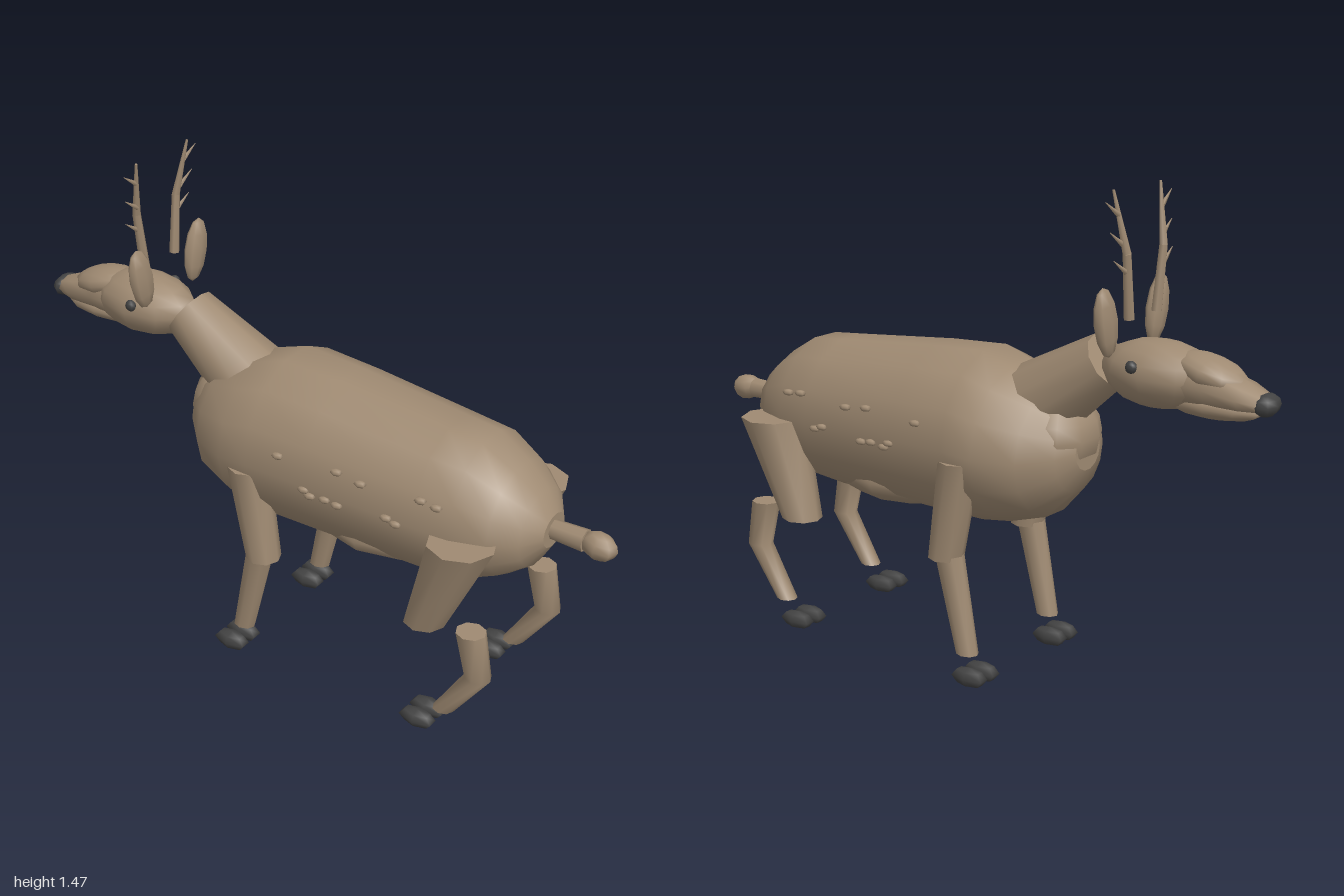
import * as THREE from 'three';

const coat = new THREE.MeshStandardMaterial({ name: 'brown coat', color: 0x9f8a72 });
const dark = new THREE.MeshStandardMaterial({ name: 'dark horn', color: 0x434343 });

// Skin over elliptical rings [pos, centre, rx, r2]: along -z (centre = y) or, if vertical, up y (centre = z)
function loft(rings, sides, vertical = false, x = 0) {
  const pos = [], idx = [];
  const put = ([p, c], u, v) => (vertical ? pos.push(x + u, p, c + v) : pos.push(x + u, c + v, p));
  const ring = (r) => {
    for (let j = 0; j < sides; j++) {
      const t = (j / sides) * Math.PI * 2;
      put(r, Math.cos(t) * r[2], Math.sin(t) * r[3]);
    }
  };
  rings.forEach(ring);
  for (let i = 0; i < rings.length - 1; i++) {
    for (let j = 0; j < sides; j++) {
      const k = (j + 1) % sides;
      const a = i * sides + j, b = i * sides + k, c = a + sides, d = b + sides;
      idx.push(a, c, b, b, c, d);
    }
  }
  // Flat end caps with their own vertices
  [rings[0], rings[rings.length - 1]].forEach((r, end) => {
    const s = pos.length / 3;
    ring(r);
    put(r, 0, 0);
    for (let j = 0; j < sides; j++) {
      const k = s + ((j + 1) % sides);
      if (end) idx.push(s + sides, k, s + j);
      else idx.push(s + sides, s + j, k);
    }
  });
  const g = new THREE.BufferGeometry();
  g.setAttribute('position', new THREE.Float32BufferAttribute(pos, 3));
  g.setIndex(idx);
  g.computeVertexNormals();
  return g;
}

export function createModel() {
  const model = new THREE.Group();
  model.name = 'deer';

  const add = (name, geometry, material = coat) => {
    const m = new THREE.Mesh(geometry, material);
    m.name = name;
    model.add(m);
    return m;
  };
  const blob = (name, at, radii, material = coat, w = 10, h = 8) => {
    const m = add(name, new THREE.SphereGeometry(1, w, h), material);
    m.position.set(...at);
    m.scale.set(...radii);
    return m;
  };
  const rod = (name, from, r0, to, r1, sides = 8) => {
    const a = new THREE.Vector3(...from), b = new THREE.Vector3(...to);
    const dir = b.clone().sub(a);
    const m = add(name, new THREE.CylinderGeometry(r1, r0, dir.length(), sides));
    m.position.copy(a).add(b).multiplyScalar(0.5);
    m.quaternion.setFromUnitVectors(new THREE.Vector3(0, 1, 0), dir.normalize());
    return m;
  };

  // Torso, from rump to chest
  add('body', loft([
    [0.8, 0.68, 0.06, 0.05], [0.76, 0.675, 0.125, 0.115], [0.69, 0.68, 0.18, 0.17],
    [0.59, 0.685, 0.215, 0.225], [0.48, 0.685, 0.225, 0.235], [0.12, 0.7, 0.245, 0.255],
    [-0.07, 0.705, 0.255, 0.26], [-0.17, 0.695, 0.25, 0.235], [-0.29, 0.69, 0.2, 0.195],
    [-0.37, 0.7, 0.12, 0.12], [-0.4, 0.71, 0.06, 0.06]], 14));
  blob('belly', [0, 0.525, 0.26], [0.18, 0.085, 0.24]);
  blob('chest', [0, 0.74, -0.31], [0.14, 0.12, 0.105]);
  rod('neck', [0, 0.8, -0.2], 0.13, [0, 0.98, -0.465], 0.083, 10);

  // Head
  blob('skull', [0, 0.968, -0.63], [0.11, 0.095, 0.18]);
  add('muzzle', loft([
    [-0.68, 0.965, 0.085, 0.07], [-0.8, 0.96, 0.075, 0.06],
    [-0.9, 0.945, 0.068, 0.042], [-0.955, 0.935, 0.045, 0.028]], 8));
  blob('noseBridge', [0, 0.995, -0.79], [0.075, 0.045, 0.115]).rotation.x = -0.25;
  blob('jaw', [0, 0.905, -0.8], [0.06, 0.035, 0.15]);
  blob('nose', [0, 0.932, -0.96], [0.053, 0.032, 0.032], dark, 8, 6);

  // Tail
  rod('tail', [-0.003, 0.685, 0.78], 0.028, [-0.003, 0.685, 0.9], 0.033);
  blob('tailTip', [-0.003, 0.683, 0.94], [0.04, 0.04, 0.055], coat, 7, 6).rotation.x = 0.15;

  // Flank spots as [z, y]
  const spots = [[0.55, 0.77], [0.5, 0.775], [0.31, 0.765], [0.23, 0.775], [0.035, 0.765],
    [0.43, 0.68], [0.4, 0.69], [0.24, 0.675], [0.2, 0.68], [0.15, 0.675], [0.13, 0.69]];

  for (const s of [1, -1]) {
    const side = s > 0 ? 'left' : 'right';

    blob(side + 'Eye', [s * 0.105, 1.0, -0.605], [0.014, 0.018, 0.018], dark, 8, 6);
    blob(side + 'Ear', [s * 0.127, 1.115, -0.537], [0.048, 0.1, 0.023], coat, 8, 6).rotation.z = -s * 0.2;

    // Antler beam with three outward tines
    const beam = [[0.068, 1.12, -0.572], [0.09, 1.3, -0.575], [0.115, 1.47, -0.545]];
    const at = ([x, y, z]) => [s * x, y, z];
    rod(side + 'AntlerLower', at(beam[0]), 0.016, at(beam[1]), 0.013, 6);
    rod(side + 'AntlerUpper', at(beam[1]), 0.013, at(beam[2]), 0.004, 6);
    [[0.09, 1.25], [0.097, 1.325], [0.107, 1.405]].forEach(([x, y], i) => {
      const z = -0.575 + i * 0.009;
      rod(side + 'Tine' + (i + 1), at([x, y, z]), 0.008, at([x + 0.055, y + 0.038, z + 0.005]), 0.001, 5);
    });

    // Legs, each ring listed from the bottom up
    const x = s * 0.2;
    add(side + 'FrontUpperLeg', loft([[0.37, -0.048, 0.053, 0.053], [0.67, -0.098, 0.063, 0.063]], 8, true, x));
    add(side + 'FrontLowerLeg', loft([[0.09, -0.125, 0.03, 0.035], [0.385, -0.06, 0.043, 0.043]], 8, true, x));
    add(side + 'Thigh', loft([[0.375, 0.518, 0.06, 0.063], [0.68, 0.627, 0.1, 0.1]], 8, true, x));
    add(side + 'HindLowerLeg', loft([[0.095, 0.592, 0.03, 0.033], [0.255, 0.7, 0.037, 0.04],
      [0.4, 0.67, 0.043, 0.045]], 8, true, x));

    // Cloven hooves
    for (const toe of [-0.029, 0.029]) {
      blob(side + 'FrontHoof', [x + toe, 0.033, -0.155], [0.032, 0.029, 0.062], dark, 6, 4);
      blob(side + 'HindHoof', [x + toe, 0.048, 0.523], [0.032, 0.027, 0.062], dark, 6, 4);
    }

    spots.forEach(([z, y], i) => {
      const rx = 0.247 - 0.045 * Math.max(0, z - 0.05);
      const px = rx * Math.sqrt(1 - ((y - 0.695) / 0.25) ** 2);
      blob(side + 'Spot' + (i + 1), [s * px, y, z], [0.014, 0.01, 0.02], coat, 6, 4);
    });
  }
  return model;
}
